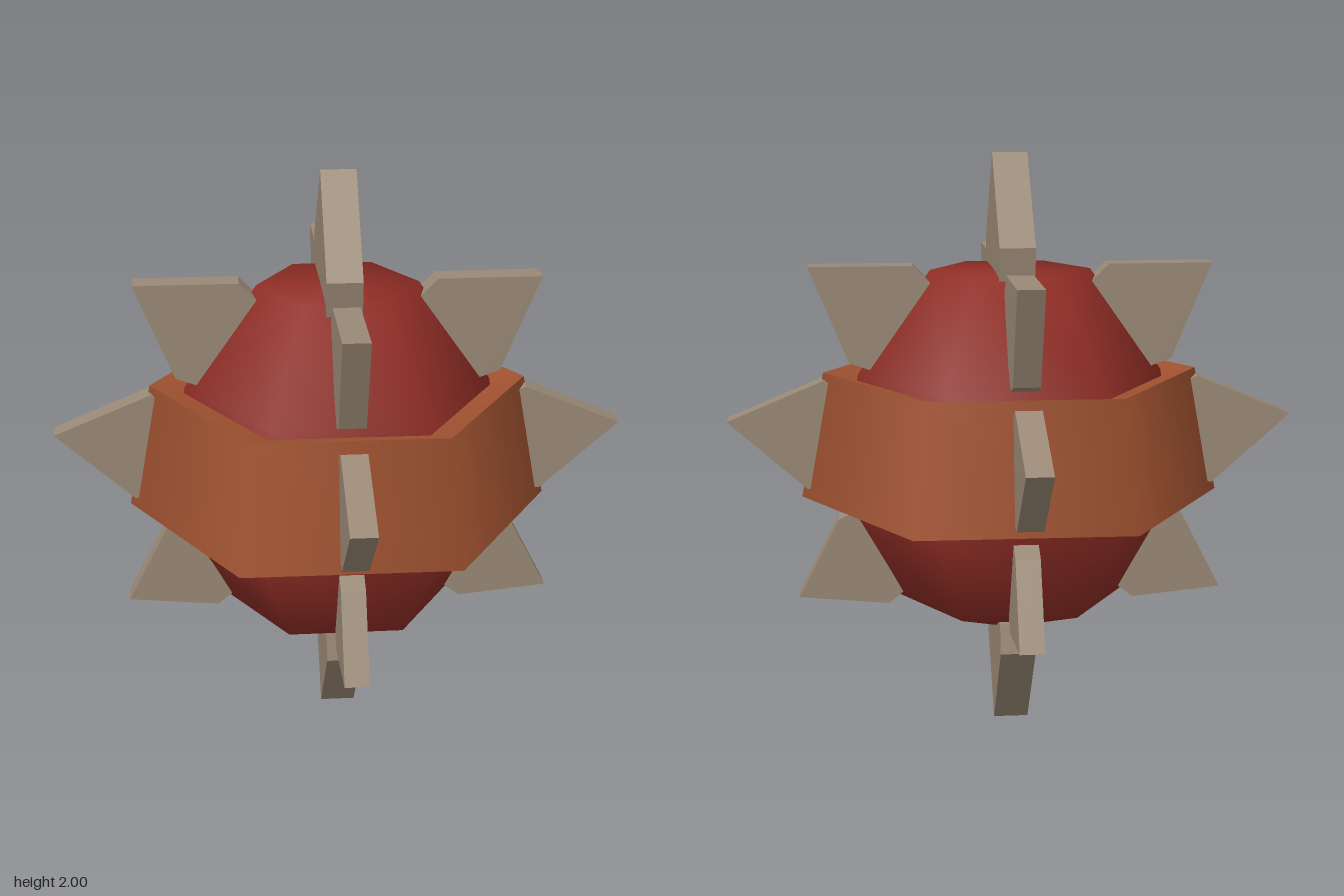
import * as THREE from 'three';

const red = new THREE.MeshStandardMaterial({ name: 'dark red', color: 0x8f2d25 });
const orange = new THREE.MeshStandardMaterial({ name: 'burnt orange', color: 0xa05230 });
const bone = new THREE.MeshStandardMaterial({ name: 'bone', color: 0x9a8976 });

const toPoints = (list) => list.map(([x, y]) => new THREE.Vector2(x, y));

// Six-sided ring from a (radius, height) profile, corners on the x axis
function hexLathe(name, profile, material) {
  const mesh = new THREE.Mesh(new THREE.LatheGeometry(toPoints(profile), 6, Math.PI / 2), material);
  mesh.name = name;
  return mesh;
}

// Flat-sided spike: an outline in (outward, height), thickened evenly and turned about y
function spike(name, outline, thickness, turn) {
  const geometry = new THREE.ExtrudeGeometry(new THREE.Shape(toPoints(outline)), {
    depth: thickness, bevelEnabled: false,
  });
  geometry.translate(0, 0, -thickness / 2);
  const mesh = new THREE.Mesh(geometry, bone);
  mesh.name = name;
  mesh.rotation.y = turn;
  return mesh;
}

export function createModel() {
  const model = new THREE.Group();
  model.name = 'spikedBall';

  // Smooth-shaded hexagonal core
  model.add(hexLathe('core', [
    [0, 0.345], [0.11, 0.365], [0.39, 0.46], [0.595, 0.82],
    [0.525, 1.25], [0.275, 1.605], [0, 1.612],
  ], red));

  // Band: separate walls keep its rims sharp
  const band = new THREE.Group();
  band.name = 'band';
  band.rotation.y = -0.01;
  band.add(
    hexLathe('bandUnderside', [[0.58, 0.85], [0.725, 0.82]], orange),
    hexLathe('bandWall', [[0.725, 0.82], [0.645, 1.255]], orange),
    hexLathe('bandTop', [[0.645, 1.255], [0.525, 1.225]], orange),
  );
  model.add(band);

  // Three tiers of four spikes
  const upper = [[0.69, 1.625], [0.335, 1.625], [0.27, 1.56], [0.25, 1.45], [0.485, 1.27], [0.555, 1.295]];
  const middle = [[0.975, 1.095], [0.645, 1.233], [0.59, 1.21], [0.64, 0.86], [0.705, 0.855]];
  const lower = [[0.742, 0.47], [0.6, 0.745], [0.54, 0.775], [0.38, 0.48], [0.43, 0.44]];
  for (let i = 0; i < 4; i++) {
    const turn = (i * Math.PI) / 2;
    const alongZ = i % 2 === 1;
    const middleOutline = middle.map(([r, y]) => [alongZ ? r - 0.027 : r, y]);
    model.add(
      spike('upperSpike', upper, 0.09, turn),
      spike('middleSpike', middleOutline, 0.088, alongZ ? turn : turn - 0.016),
      spike('lowerSpike', lower, 0.082, turn),
    );
  }

  // Larger spikes at the poles, lying in the z-y plane
  const top = [[0.02, 2], [0.28, 1.69], [0.255, 1.55], [-0.24, 1.56], [-0.26, 1.705]];
  const bottom = [[-0.02, 0], [0.26, 0.31], [0.245, 0.42], [-0.265, 0.42], [-0.285, 0.32]];
  model.add(
    spike('topSpike', top, 0.12, -Math.PI / 2),
    spike('bottomSpike', bottom, 0.12, -Math.PI / 2),
  );

  return model;
}
